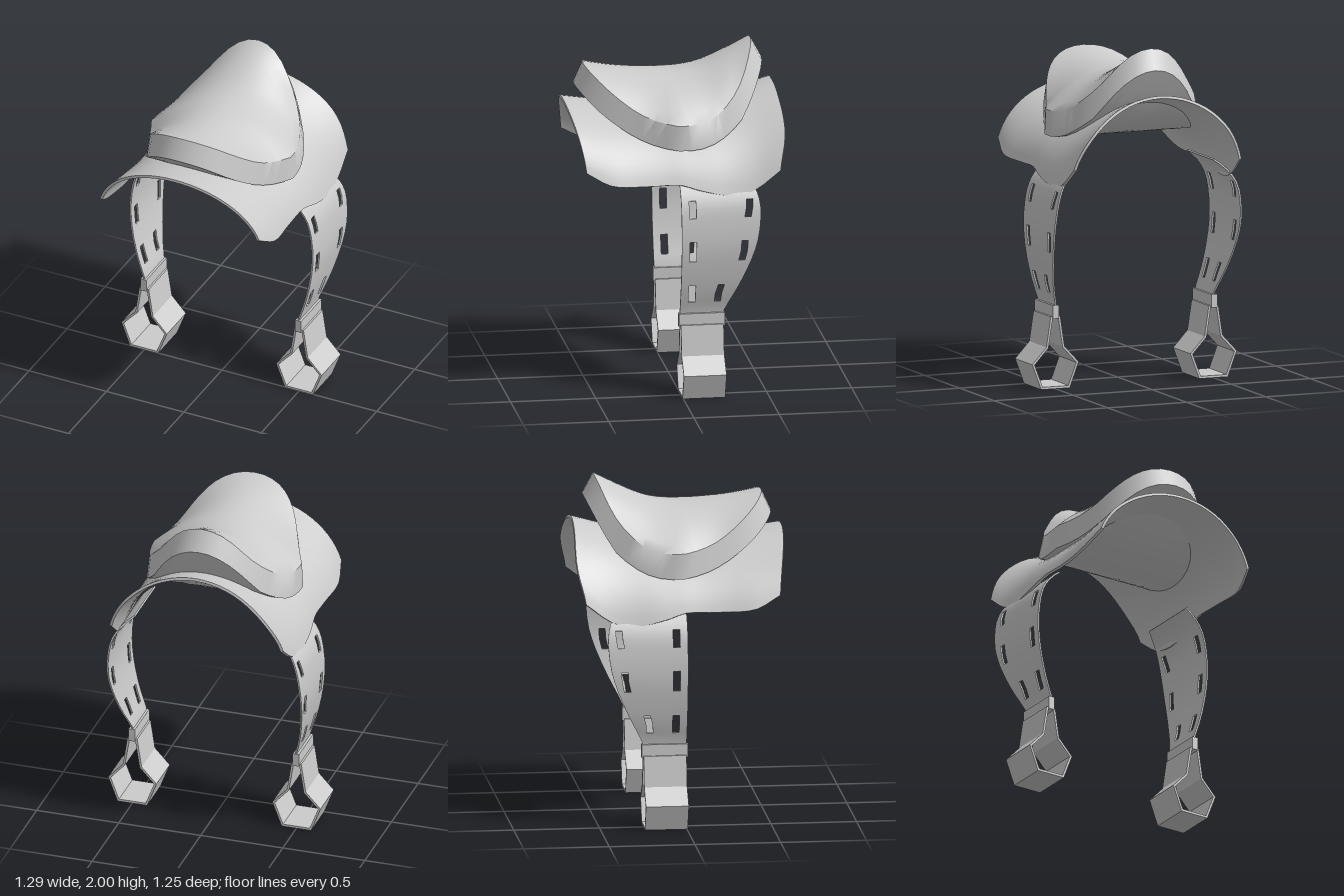
import * as THREE from 'three';
import { toCreasedNormals } from 'three/addons/utils/BufferGeometryUtils.js';

const material = new THREE.MeshStandardMaterial({ color: 0xcccccc, side: THREE.DoubleSide });

// Smooth interpolation through [t, value] pairs sorted by rising t
function at(table, t) {
  const n = table.length - 1;
  t = Math.min(Math.max(t, table[0][0]), table[n][0]);
  let k = 0;
  while (k < n - 1 && t > table[k + 1][0]) k++;
  const slope = (m) => {
    const a = table[Math.max(m - 1, 0)], b = table[Math.min(m + 1, n)];
    return (b[1] - a[1]) / (b[0] - a[0]);
  };
  const [t0, v0] = table[k], [t1, v1] = table[k + 1];
  const h = t1 - t0, s = (t - t0) / h;
  return v0 * (1 + 2 * s) * (1 - s) ** 2 + slope(k) * h * s * (1 - s) ** 2
    + v1 * s * s * (3 - 2 * s) + slope(k + 1) * h * s * s * (s - 1);
}

// Grid surface from point(i, j); thickness > 0 makes a closed sheet, skip(i, j) leaves openings
function sheet(nu, nv, point, thickness = 0, skip = () => false) {
  const outer = [], inner = [], pos = [];
  const id = (i, j) => j * (nu + 1) + i;
  for (let j = 0; j <= nv; j++) for (let i = 0; i <= nu; i++) outer.push(point(i, j));
  for (let j = 0; j <= nv; j++) for (let i = 0; i <= nu; i++) {
    const du = outer[id(Math.min(i + 1, nu), j)].clone().sub(outer[id(Math.max(i - 1, 0), j)]);
    const dv = outer[id(i, Math.min(j + 1, nv))].clone().sub(outer[id(i, Math.max(j - 1, 0))]);
    inner.push(outer[id(i, j)].clone().addScaledVector(du.cross(dv).normalize(), -thickness));
  }
  const quad = (a, b, c, d) => [a, b, c, a, c, d].forEach((p) => pos.push(p.x, p.y, p.z));
  const open = (i, j) => i < 0 || j < 0 || i >= nu || j >= nv || skip(i, j);
  for (let j = 0; j < nv; j++) for (let i = 0; i < nu; i++) {
    if (skip(i, j)) continue;
    const c = [id(i, j), id(i + 1, j), id(i + 1, j + 1), id(i, j + 1)];
    quad(...c.map((k) => outer[k]));
    if (!thickness) continue;
    quad(...[...c].reverse().map((k) => inner[k]));
    [[0, -1], [1, 0], [0, 1], [-1, 0]].forEach(([di, dj], e) => {
      const p = c[e], q = c[(e + 1) % 4];
      if (open(i + di, j + dj)) quad(outer[p], inner[p], inner[q], outer[q]);
    });
  }
  const g = new THREE.BufferGeometry();
  g.setAttribute('position', new THREE.Float32BufferAttribute(pos, 3));
  return toCreasedNormals(g, 0.7);
}

function mesh(name, geometry) {
  const m = new THREE.Mesh(geometry, material);
  m.name = name;
  return m;
}

// Arched flap under the seat
function flapGeometry() {
  const ridge = [[-0.61, 1.74], [-0.3, 1.66], [0, 1.61], [0.35, 1.635], [0.61, 1.67]];
  const hem = [[-0.61, 1.335], [-0.45, 1.225], [-0.3, 1.2], [-0.1, 1.24], [0, 1.27], [0.2, 1.27], [0.45, 1.285], [0.61, 1.36]];
  const width = [[-0.61, 0.53], [-0.3, 0.545], [-0.15, 0.548], [0.05, 0.53], [0.25, 0.533], [0.45, 0.545], [0.61, 0.515]];
  const back = [[0, 0.605], [0.4, 0.612], [0.75, 0.622], [0.88, 0.612], [1, 0.58]];
  const nu = 28, nv = 24, arc = 1.31;
  return sheet(nu, nv, (i, j) => {
    const u = (2 * i) / nu - 1, zn = 0.61 - (1.22 * j) / nv;
    const x = Math.sin(u * arc) / Math.sin(arc);
    const drop = (1 - Math.cos(u * arc)) / (1 - Math.cos(arc));
    const reach = zn > 0 ? 0.617 - 0.062 * x * x : at(back, Math.abs(x));
    const r = at(ridge, zn);
    return new THREE.Vector3(x * at(width, zn), r - (r - at(hem, zn)) * drop, (zn * reach) / 0.61);
  }, 0.016);
}

// Egg-shaped padded seat: crown, side wall and underside in one closed skin
function seatGeometry() {
  const crown = [[-0.48, 2], [-0.2, 1.865], [-0.05, 1.835], [0.1, 1.835], [0.3, 1.85], [0.5, 1.88]];
  const rim = [[-0.48, 2], [-0.38, 1.79], [-0.25, 1.655], [-0.15, 1.61], [0.03, 1.605], [0.2, 1.65], [0.35, 1.75], [0.5, 1.88]];
  const base = [[-0.545, 1.88], [-0.45, 1.7], [-0.38, 1.59], [-0.2, 1.475], [0, 1.455], [0.2, 1.5], [0.4, 1.62], [0.555, 1.76]];
  const half = (c) => 0.46 * Math.sqrt(Math.max(0, 1 - c * c)) * (1 - 0.5 * Math.max(0, c) * (1 - c));
  const nu = 48, rings = 10;
  return sheet(nu, 2 * rings + 1, (i, j) => {
    const a = (-2 * Math.PI * i) / nu, top = j <= rings;
    const t = (top ? j : 2 * rings + 1 - j) / rings;
    const c = Math.cos(a), x = Math.sign(Math.sin(a)) * half(c) * t;
    if (!top) {
      const z = 0.005 + 0.55 * c * t;
      return new THREE.Vector3(x, at(base, z), z);
    }
    const z = 0.01 + 0.49 * c * t, w = half(c * t);
    const s = w > 1e-4 ? Math.min(1, Math.abs(x) / w) : 1;
    const y = at(crown, z);
    return new THREE.Vector3(x * 0.98, y + (at(rim, z) - y) * s * s, z);
  });
}

// Curved strap with two columns of slots
function strapGeometry() {
  const rows = [1.31, 1.285, 1.25, 1.215, 1.18, 1.13, 1.08, 1.01, 0.94, 0.88, 0.82, 0.745, 0.67, 0.615, 0.56, 0.5, 0.45];
  const slotRows = [4, 5, 8, 9, 12, 13];
  const bow = [[0.45, 0.5], [0.5, 0.505], [0.59, 0.535], [0.7, 0.563], [0.82, 0.584], [0.95, 0.593], [1.08, 0.583], [1.18, 0.558], [1.26, 0.505], [1.31, 0.445]];
  const backEdge = [[0.45, -0.245], [0.5, -0.25], [0.66, -0.33], [0.82, -0.4], [0.95, -0.44], [1.1, -0.457], [1.18, -0.45], [1.26, -0.42], [1.31, -0.38]];
  const slot = [[0.45, -0.18], [0.56, -0.19], [0.67, -0.21], [0.82, -0.325], [0.94, -0.343], [1.08, -0.362], [1.18, -0.375], [1.31, -0.33]];
  return sheet(5, rows.length - 1, (i, j) => {
    const y = rows[j], s = at(slot, y);
    const z = [at(backEdge, y), s - 0.037, s, -0.078, -0.038, 0.008][i];
    return new THREE.Vector3(at(bow, y), y, z);
  }, 0.01, (i, j) => (i === 1 || i === 3) && slotRows.includes(j));
}

// Stirrup: flat bar bent into a closed loop
function stirrupGeometry() {
  const loop = (points, path) => {
    const right = points.map(([x, y]) => new THREE.Vector2(x, y));
    const left = points.map(([x, y]) => new THREE.Vector2(-x, y)).reverse();
    return path.setFromPoints([...right, ...left]);
  };
  const shape = loop([[0.09, 0.005], [0.147, 0.155], [0.057, 0.252], [0.03, 0.43]], new THREE.Shape());
  shape.holes.push(loop([[0.081, 0.019], [0.132, 0.152], [0.045, 0.246], [0.018, 0.418]], new THREE.Path()));
  return new THREE.ExtrudeGeometry(shape, { depth: 0.25, bevelEnabled: false }).translate(0.5, -0.005, -0.245);
}

export function createModel() {
  const model = new THREE.Group();
  model.name = 'saddle';
  model.add(mesh('flap', flapGeometry()), mesh('seat', seatGeometry()));

  // Strap, buckle and stirrup on each side
  for (const side of [1, -1]) {
    const g = new THREE.Group();
    g.name = side > 0 ? 'leftStirrupSet' : 'rightStirrupSet';
    g.add(
      mesh('strap', strapGeometry()),
      mesh('buckle', new THREE.BoxGeometry(0.038, 0.078, 0.27).translate(0.5, 0.452, -0.12)),
      mesh('stirrup', stirrupGeometry()),
    );
    g.scale.x = side;
    model.add(g);
  }
  return model;
}
